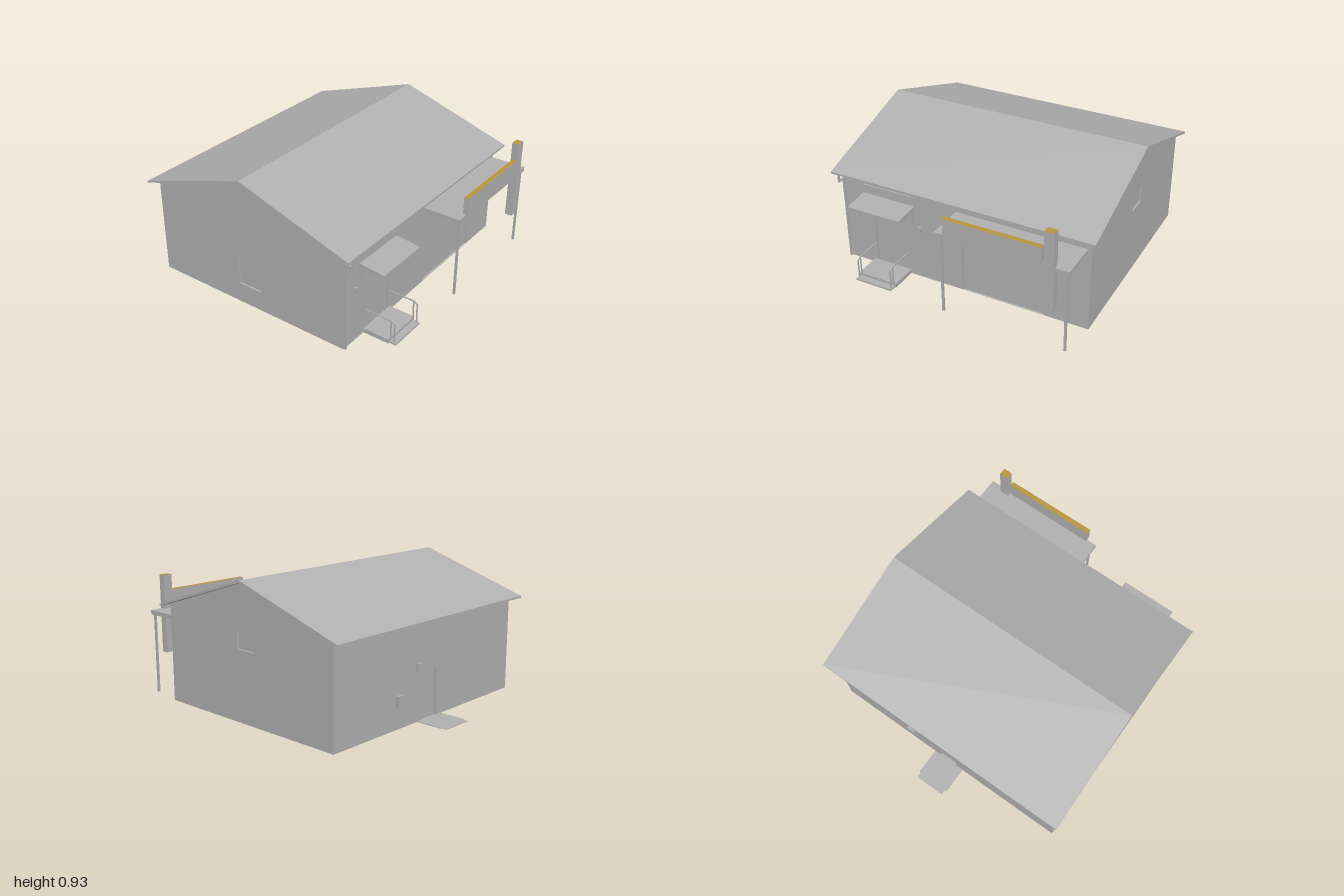
import * as THREE from 'three';

const grey = new THREE.MeshStandardMaterial({ color: 0xb0b0b0 });
grey.name = 'grey';
const greyShell = new THREE.MeshStandardMaterial({ color: 0xb0b0b0, side: THREE.DoubleSide });
greyShell.name = 'greyShell';
const gold = new THREE.MeshStandardMaterial({ color: 0xb8963e });
gold.name = 'gold';

function add(parent, name, geometry, material = grey) {
  const mesh = new THREE.Mesh(geometry, material);
  mesh.name = name;
  parent.add(mesh);
  return mesh;
}

// Box given by its two extreme corners
function box(parent, name, x0, x1, y0, y1, z0, z1, material = grey) {
  const geometry = new THREE.BoxGeometry(x1 - x0, y1 - y0, z1 - z0);
  geometry.translate((x0 + x1) / 2, (y0 + y1) / 2, (z0 + z1) / 2);
  return add(parent, name, geometry, material);
}

// Closed (z, y) profile drawn out along x
function extrudeAlongX(parent, name, points, x0, x1) {
  const shape = new THREE.Shape(points.map(([z, y]) => new THREE.Vector2(z, y)));
  const geometry = new THREE.ExtrudeGeometry(shape, { depth: x1 - x0, bevelEnabled: false });
  geometry.rotateY(-Math.PI / 2).translate(x1, 0, 0);
  return add(parent, name, geometry);
}

// Square bar between two points
function bar(parent, name, a, b, size) {
  const from = new THREE.Vector3(...a), to = new THREE.Vector3(...b);
  const mesh = add(parent, name, new THREE.BoxGeometry(size, size, from.distanceTo(to) + size));
  mesh.position.copy(from).add(to).multiplyScalar(0.5);
  mesh.lookAt(to);
}

// Thin wall with recessed doors and windows: openings are [name, u0, u1, y0, y1]
function wall(parent, name, u0, u1, top, openings, angle, position) {
  const group = new THREE.Group();
  group.name = name;
  group.rotation.y = angle;
  group.position.set(...position);
  parent.add(group);
  const outline = [[u0, 0]];
  const holes = [];
  for (const [, a, b, y0, y1] of openings) {
    if (y0 === 0) outline.push([a, 0], [a, y1], [b, y1], [b, 0]);
    else holes.push([[a, y0], [a, y1], [b, y1], [b, y0]]);
  }
  outline.push([u1, 0], ...top);
  const toPoints = (list) => list.map(([u, y]) => new THREE.Vector2(u, y));
  const shape = new THREE.Shape(toPoints(outline));
  shape.holes = holes.map((hole) => new THREE.Path(toPoints(hole)));
  add(group, name + 'Panel', new THREE.ShapeGeometry(shape), greyShell);
  for (const [part, a, b, y0, y1] of openings) {
    const recess = box(group, part, a, b, y0, y1, -0.015, 0, greyShell).geometry;
    // leave the outward side of the recess open
    const index = Array.from(recess.index.array).filter((_, i) => i < 24 || i >= 30);
    recess.setIndex(index);
    recess.clearGroups();
  }
}

export function createModel() {
  const model = new THREE.Group();
  model.name = 'building';
  const W = 0.893, F = 0.72, B = -0.773, H = 0.675;

  // Walls, open underneath
  const flatTop = [[W, H], [-W, H]];
  wall(model, 'frontWall', -W, W, flatTop,
    [['frontDoor', -0.66, -0.415, 0, 0.48], ['garageDoor', 0.005, 0.59, 0, 0.54]], 0, [0, 0, F]);
  wall(model, 'backWall', -W, W, flatTop,
    [['backDoor', -0.07, 0.07, 0, 0.33]], Math.PI, [0, 0, B]);
  wall(model, 'leftWall', -F, -B, [[-B, H], [0.03, 0.915], [-F, H]],
    [['leftWindow', -0.05, 0.105, 0.48, 0.6]], Math.PI / 2, [W, 0, 0]);
  wall(model, 'rightWall', B, F, [[F, H], [-0.03, 0.915], [B, H]],
    [['rightWindow', -0.11, 0.07, 0.14, 0.36]], -Math.PI / 2, [-W, 0, 0]);

  // Gabled roof
  extrudeAlongX(model, 'roof', [[0.783, 0.657], [0.783, 0.671], [-0.03, 0.931],
    [-0.842, 0.671], [-0.842, 0.657], [-0.03, 0.915]], -0.937, 0.937);

  // Downpipe at the front corner
  const pipe = [[-0.882, 0.655, 0.775], [-0.882, 0.61, 0.775], [-0.882, 0.61, 0.728], [-0.882, 0.006, 0.728]];
  for (let i = 0; i < 3; i++) bar(model, 'downpipe', pipe[i], pipe[i + 1], 0.012);

  // Entrance awning with brackets, name board and wall lamps
  extrudeAlongX(model, 'awning', [[0.695, 0.518], [0.895, 0.503], [0.895, 0.518], [0.695, 0.54]], -0.735, -0.345);
  for (const x of [-0.72, -0.37]) {
    box(model, 'awningArm', x, x + 0.014, 0.487, 0.512, F, 0.885);
    box(model, 'awningBracket', x, x + 0.014, 0.435, 0.49, F, 0.738);
  }
  box(model, 'entranceBoard', -0.72, -0.36, 0.557, 0.607, F, 0.73);
  for (const x of [-0.78, -0.303]) box(model, 'wallLamp', x - 0.01, x + 0.01, 0.35, 0.395, F, 0.738);

  // Entrance steps and railings
  box(model, 'entranceLanding', -0.685, -0.395, 0, 0.03, F, 0.908);
  box(model, 'entranceStep', -0.675, -0.405, 0, 0.013, 0.9, 0.955);
  for (const x of [-0.664, -0.411]) {
    const rail = [[x, 0.16, 0.724], [x, 0.16, 0.908], [x, 0.145, 0.935], [x, 0.005, 0.935]];
    for (let i = 0; i < 3; i++) bar(model, 'railing', rail[i], rail[i + 1], 0.007);
    bar(model, 'railingPost', [x, 0.03, 0.908], [x, 0.16, 0.908], 0.007);
  }

  // Garage canopy on two posts
  box(model, 'canopy', -0.03, 0.867, 0.557, 0.587, F, 0.982);
  for (const x of [0.005, 0.846]) box(model, 'canopyPost', x - 0.007, x + 0.007, 0, 0.56, 0.957, 0.971);

  // Sign boards with gold caps above and below
  const capped = [grey, grey, gold, gold, grey, grey];
  box(model, 'signBoard', 0.043, 0.698, 0.596, 0.711, 0.965, 1, capped);
  box(model, 'signPillar', 0.71, 0.774, 0.272, 0.823, 0.945, 0.995, capped);

  // Back landing and wall vents
  const half = [[0.12, 0], [0.12, 0.187], [0.107, 0.187], [0.107, 0.227]];
  const plan = [...half, ...half.map(([x, z]) => [-x, z]).reverse()];
  const shape = new THREE.Shape(plan.map(([x, z]) => new THREE.Vector2(x, z)));
  const slab = new THREE.ExtrudeGeometry(shape, { depth: 0.004, bevelEnabled: false });
  add(model, 'backLanding', slab.rotateX(-Math.PI / 2).translate(0, 0, B));
  box(model, 'upperVent', 0.1, 0.14, 0.33, 0.39, -0.792, B);
  box(model, 'lowerVent', 0.28, 0.335, 0.15, 0.22, -0.792, B);
  return model;
}
